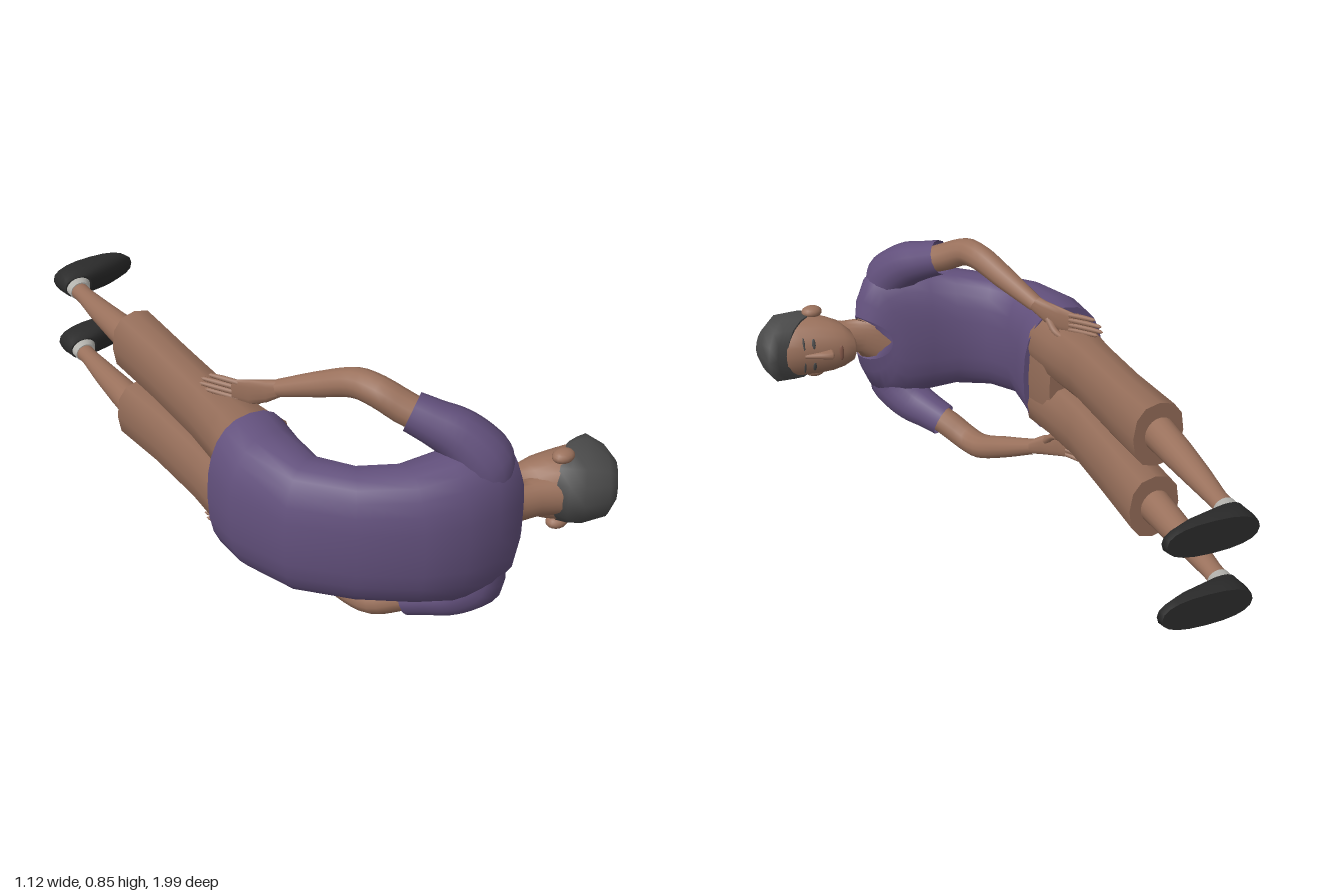
import * as THREE from 'three';

const MID = 0.422; // height of the body's plane of symmetry
const paint = (name, color, side = THREE.FrontSide) => {
  const m = new THREE.MeshStandardMaterial({ color, side });
  m.name = name;
  return m;
};
const skin = paint('skin', 0x9a715c);
const shortsCloth = paint('shortsCloth', 0x936c58);
const shirtCloth = paint('shirtCloth', 0x62507c, THREE.DoubleSide);
const hairColor = paint('hairColor', 0x4a4a4a);
const shoeColor = paint('shoeColor', 0x2a2a2a);
const sockColor = paint('sockColor', 0xb4b3ae);
const lipColor = paint('lipColor', 0x85594a);

function add(parent, name, geometry, material) {
  const mesh = new THREE.Mesh(geometry, material);
  mesh.name = name;
  parent.add(mesh);
  return mesh;
}

// Capped skin over sections [backX, backZ, frontX, frontZ, halfWidth, bow].
// The width lies along y; bow lifts the sides of a section along x.
function loft(sections, { y = 0, n = 2, sides = 20 } = {}) {
  const pos = [], index = [];
  const pow = (v) => Math.sign(v) * Math.abs(v) ** (2 / n);
  const ring = ([bx, bz, fx, fz, w, bow = 0, dy = 0]) => {
    for (let j = 0; j < sides; j++) {
      const t = (j / sides) * Math.PI * 2;
      const c = pow(Math.cos(t)) / 2, s = Math.sin(t);
      pos.push((bx + fx) / 2 + (fx - bx) * c + bow * s * s,
        MID + y + dy + w * pow(s), (bz + fz) / 2 + (fz - bz) * c);
    }
  };
  sections.forEach(ring);
  for (let i = 0; i < sections.length - 1; i++) {
    for (let j = 0; j < sides; j++) {
      const k = (j + 1) % sides, a = i * sides, b = a + sides;
      index.push(a + j, a + k, b + k, a + j, b + k, b + j);
    }
  }
  // end caps with their own vertices, so the rims stay sharp
  [sections[0], sections[sections.length - 1]].forEach((s, end) => {
    const base = pos.length / 3;
    ring(s);
    for (let j = 1; j < sides - 1; j++) {
      index.push(base, base + (end ? j : j + 1), base + (end ? j + 1 : j));
    }
  });
  const g = new THREE.BufferGeometry();
  g.setAttribute('position', new THREE.Float32BufferAttribute(pos, 3));
  g.setIndex(index);
  g.computeVertexNormals();
  return g;
}

// Tube through points [x, y from the middle, z, radius], on the given side.
function limb(points, side, sides = 12) {
  const curve = new THREE.CatmullRomCurve3(
    points.map(([x, y, z]) => new THREE.Vector3(x, MID + side * y, z)));
  const steps = (points.length - 1) * 4;
  const g = new THREE.TubeGeometry(curve, steps, 1, sides);
  const p = g.attributes.position, v = new THREE.Vector3();
  for (let i = 0; i <= steps; i++) {
    const u = i / steps, c = curve.getPointAt(u);
    const k = curve.getUtoTmapping(u) * (points.length - 1);
    const a = Math.min(Math.floor(k), points.length - 2);
    const r = THREE.MathUtils.lerp(points[a][3], points[a + 1][3], k - a);
    for (let j = 0; j <= sides; j++) {
      const id = i * (sides + 1) + j;
      v.fromBufferAttribute(p, id).sub(c).multiplyScalar(r).add(c);
      p.setXYZ(id, v.x, v.y, v.z);
    }
  }
  return g;
}

function blob(parent, name, material, [x, y, z], [sx, sy, sz]) {
  const mesh = add(parent, name, new THREE.SphereGeometry(1, 14, 10), material);
  mesh.position.set(x, MID + y, z);
  mesh.scale.set(sx, sy, sz);
  return mesh;
}

function buildTorso(g) {
  add(g, 'shirt', loft([
    [-0.555, 0.30, -0.25, 0.30, 0.24], [-0.56, 0.43, -0.265, 0.40, 0.232],
    [-0.50, 0.63, -0.28, 0.52, 0.218], [-0.36, 0.79, -0.235, 0.60, 0.215],
    [-0.20, 0.90, -0.15, 0.66, 0.225], [-0.08, 0.945, -0.06, 0.68, 0.245],
    [0.03, 0.95, 0.02, 0.70, 0.255, 0.02], [0.11, 0.935, 0.06, 0.72, 0.22, 0.045],
    [0.15, 0.91, 0.07, 0.725, 0.14, 0.05], [0.165, 0.88, 0.08, 0.73, 0.08, 0.05],
  ], { n: 2.4, sides: 24 }), shirtCloth);
  // neck, filling the scooped neckline
  add(g, 'neck', loft([
    [0.12, 0.88, 0.06, 0.735, 0.075, 0.04], [0.165, 0.878, 0.088, 0.738, 0.074, 0.05],
    [0.19, 0.885, 0.16, 0.79, 0.064, 0.01], [0.24, 0.895, 0.22, 0.79, 0.062],
    [0.32, 0.93, 0.30, 0.78, 0.07],
  ]), skin);
  // pelvis joining the legs of the shorts
  add(g, 'shortsSeat', loft([
    [-0.475, 0.19, -0.30, 0.19, 0.18], [-0.49, 0.22, -0.285, 0.22, 0.215],
    [-0.51, 0.32, -0.265, 0.32, 0.224],
  ], { n: 2.6 }), shortsCloth);
}

function buildHead(g) {
  add(g, 'face', loft([
    [0.215, 0.79, 0.215, 0.74, 0.028], [0.23, 0.83, 0.225, 0.725, 0.058],
    [0.26, 0.88, 0.26, 0.722, 0.085], [0.30, 0.91, 0.30, 0.722, 0.1],
    [0.35, 0.95, 0.35, 0.728, 0.11], [0.42, 0.965, 0.42, 0.738, 0.112],
    [0.48, 0.95, 0.48, 0.752, 0.1], [0.53, 0.90, 0.53, 0.79, 0.06],
  ], { n: 2.1 }), skin);
  add(g, 'nose', loft([
    [0.307, 0.76, 0.307, 0.715, 0.014], [0.318, 0.76, 0.318, 0.70, 0.02],
    [0.36, 0.76, 0.36, 0.715, 0.013], [0.41, 0.76, 0.41, 0.733, 0.01],
  ], { sides: 10 }), skin);
  add(g, 'hair', loft([
    [0.285, 0.90, 0.47, 0.752, 0.116], [0.305, 0.935, 0.51, 0.742, 0.121],
    [0.34, 0.97, 0.545, 0.735, 0.12], [0.42, 0.992, 0.555, 0.80, 0.1],
    [0.47, 0.97, 0.558, 0.86, 0.055],
  ], { n: 2.2, sides: 14 }), hairColor);
  blob(g, 'lips', lipColor, [0.278, 0, 0.724], [0.009, 0.03, 0.006]);
  for (const s of [1, -1]) {
    blob(g, 'eye', hairColor, [0.375, s * 0.045, 0.741], [0.007, 0.019, 0.004]).rotation.x = s * 0.3;
    blob(g, 'eyebrow', hairColor, [0.41, s * 0.047, 0.747], [0.004, 0.024, 0.004]).rotation.x = s * 0.3;
    blob(g, 'ear', skin, [0.345, s * 0.118, 0.855], [0.038, 0.022, 0.03]);
  }
}

function buildArm(g, s) {
  add(g, 'sleeve', limb([
    [0.06, 0.15, 0.85, 0.07], [0.045, 0.21, 0.84, 0.092], [0.0, 0.275, 0.785, 0.08],
    [-0.05, 0.308, 0.725, 0.067], [-0.09, 0.331, 0.675, 0.061],
  ], s, 14), shirtCloth);
  add(g, 'arm', limb([
    [-0.04, 0.30, 0.73, 0.045], [-0.10, 0.337, 0.66, 0.05], [-0.15, 0.376, 0.59, 0.048],
    [-0.175, 0.378, 0.52, 0.046], [-0.225, 0.335, 0.41, 0.04], [-0.287, 0.28, 0.285, 0.028],
  ], s), skin);
  // flat palm: centre x, z, offset from the middle, half width, thickness
  const palm = [[-0.378, 0.165, 0.245, 0.035, 0.014], [-0.345, 0.21, 0.247, 0.043, 0.02],
    [-0.31, 0.255, 0.262, 0.038, 0.03], [-0.28, 0.30, 0.286, 0.026, 0.045]];
  add(g, 'palm', loft(palm.map(([x, z, y, w, t]) =>
    [x - 0.42 * t, z + 0.27 * t, x + 0.42 * t, z - 0.27 * t, w, 0, s * y]),
  { n: 2.4, sides: 14 }), skin);
  for (let i = 0; i < 4; i++) {
    const y = 0.218 + i * 0.018, len = [0.85, 1, 0.95, 0.75][i];
    add(g, 'finger', limb([
      [-0.365, y, 0.18, 0.009], [-0.365 - 0.04 * len, y + 0.004, 0.18 - 0.06 * len, 0.009],
      [-0.365 - 0.07 * len, y + 0.006, 0.18 - 0.108 * len, 0.006],
      [-0.365 - 0.072 * len, y + 0.006, 0.18 - 0.112 * len, 0],
    ], s, 7), skin);
  }
  add(g, 'thumb', limb([
    [-0.315, 0.24, 0.245, 0.014], [-0.325, 0.205, 0.205, 0.012],
    [-0.345, 0.195, 0.15, 0.008], [-0.347, 0.195, 0.145, 0],
  ], s, 7), skin);
}

function buildLeg(g, s) {
  // level sections: z, back x, front x, half width, offset from the middle
  const level = (rows) => rows.map(([z, b, f, w, y]) => [b, z, f, z, w, 0, s * y]);
  add(g, 'shortsLeg', loft(level([
    [-0.44, -0.47, -0.295, 0.112, 0.132], [-0.2, -0.467, -0.30, 0.108, 0.122],
    [0.05, -0.475, -0.305, 0.106, 0.116], [0.2, -0.492, -0.285, 0.108, 0.112],
    [0.31, -0.51, -0.265, 0.108, 0.112],
  ]), { n: 2.4, sides: 12 }), shortsCloth);
  add(g, 'shin', loft(level([
    [-0.9, -0.4, -0.335, 0.028, 0.125], [-0.83, -0.402, -0.34, 0.029, 0.125],
    [-0.7, -0.42, -0.338, 0.04, 0.127], [-0.57, -0.432, -0.336, 0.051, 0.13],
    [-0.42, -0.442, -0.335, 0.06, 0.133],
  ])), skin);
  add(g, 'sock', loft(level([
    [-0.93, -0.404, -0.29, 0.035, 0.125], [-0.905, -0.404, -0.315, 0.034, 0.125],
    [-0.875, -0.404, -0.33, 0.032, 0.125],
  ])), sockColor);
  add(g, 'shoe', loft(level([
    [-1, -0.41, -0.115, 0.054, 0.125], [-0.975, -0.412, -0.11, 0.057, 0.125],
    [-0.95, -0.412, -0.165, 0.053, 0.125], [-0.928, -0.41, -0.235, 0.044, 0.125],
    [-0.908, -0.408, -0.305, 0.036, 0.125],
  ]), { n: 2.4 }), shoeColor);
}

export function createModel() {
  const model = new THREE.Group();
  model.name = 'recliningFigure';
  const part = (name, build, side) => {
    const g = new THREE.Group();
    g.name = name;
    build(g, side);
    model.add(g);
  };
  part('torso', buildTorso);
  part('head', buildHead);
  // the figure's left side lies downward, its right side upward
  for (const s of [1, -1]) {
    const label = s > 0 ? 'upper' : 'lower';
    part(label + 'Arm', buildArm, s);
    part(label + 'Leg', buildLeg, s);
  }
  return model;
}
